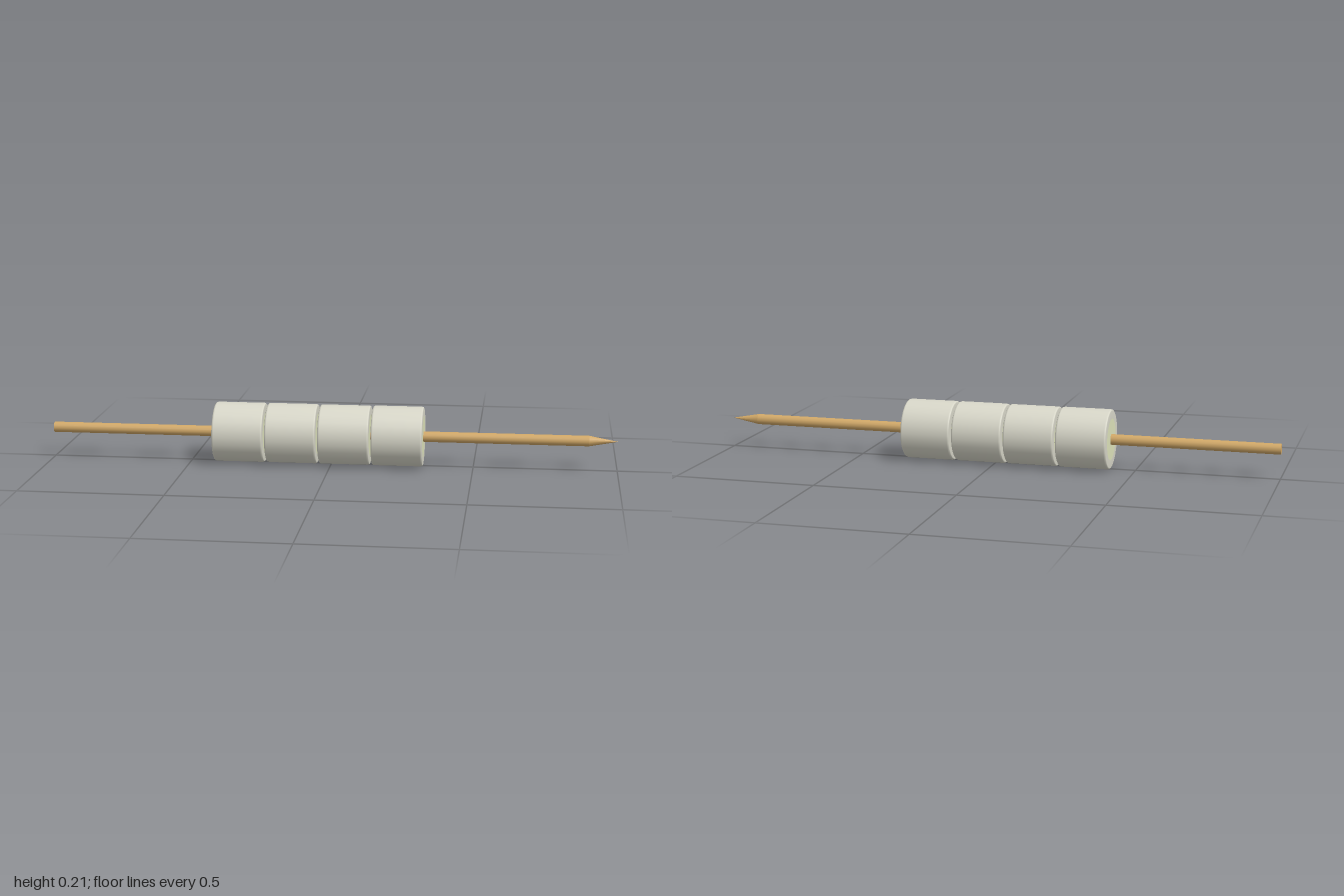
import * as THREE from 'three';

const AXIS_Y = 0.108;

function material(name, color) {
  const m = new THREE.MeshStandardMaterial({ color });
  m.name = name;
  return m;
}

function part(name, geometry, mat, x = 0) {
  const mesh = new THREE.Mesh(geometry, mat);
  mesh.name = name;
  mesh.position.x = x;
  return mesh;
}

export function createModel() {
  const wood = material('wood', 0xd2a968);
  const skin = material('paleSkin', 0xd8d7c9);
  const core = material('paleGreenCore', 0xdfe4bc);

  const model = new THREE.Group();
  model.name = 'skewer';

  // Wooden stick with a sharpened end, along x
  const stick = new THREE.CylinderGeometry(0.019, 0.019, 1.9, 12).rotateZ(-Math.PI / 2);
  model.add(part('stick', stick, wood, -0.05));
  const tip = new THREE.ConeGeometry(0.019, 0.1, 12).rotateZ(-Math.PI / 2);
  model.add(part('stickTip', tip, wood, 0.95));

  // Rounded outer wall of one piece, running from end ring to end ring
  const half = 0.089;
  const profile = [
    [0.073, -half], [0.1, -half], [0.1035, -half + 0.002], [0.105, -half + 0.007],
    [0.105, half - 0.007], [0.1035, half - 0.002], [0.1, half], [0.073, half],
  ].map(([r, y]) => new THREE.Vector2(r, y));
  const wall = new THREE.LatheGeometry(profile, 24).rotateZ(-Math.PI / 2);
  const disc = new THREE.CircleGeometry(0.073, 24);

  // Four pieces threaded on the stick, each turned slightly
  for (let i = 0; i < 4; i++) {
    const piece = new THREE.Group();
    piece.name = `piece${i + 1}`;
    piece.position.x = -0.324 + i * 0.1865;
    piece.rotation.x = i * 0.09;
    piece.add(part('outerWall', wall, skin));
    for (const side of [-1, 1]) {
      const face = part('coreFace', disc, core, side * half);
      face.rotation.y = side * Math.PI / 2;
      piece.add(face);
    }
    model.add(piece);
  }

  for (const child of model.children) child.position.y = AXIS_Y;
  return model;
}
